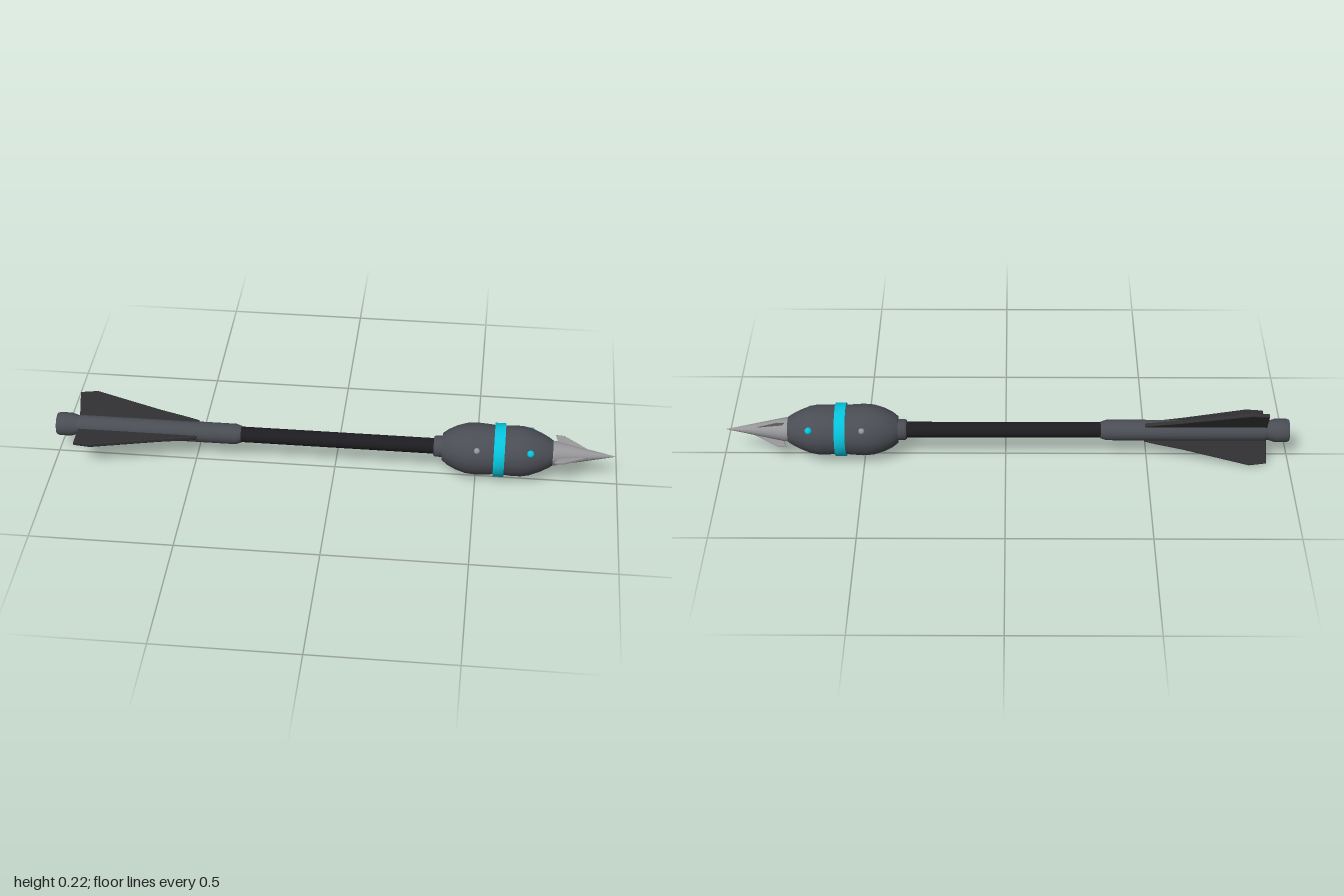
import * as THREE from 'three';
import { toCreasedNormals } from 'three/addons/utils/BufferGeometryUtils.js';

const mat = (color) => new THREE.MeshStandardMaterial({ color });
const steel = mat(0x4a4d54), carbon = mat(0x1d1d21), vane = mat(0x303032);
const metal = mat(0x97979a), glow = mat(0x06c3dc);

// Turned part along x; profile is [x, radius] from tail to tip
function turned(name, profile, material) {
  const points = profile.map(([x, r]) => new THREE.Vector2(r, x));
  const geo = toCreasedNormals(new THREE.LatheGeometry(points, 16), 0.6);
  geo.rotateZ(-Math.PI / 2);
  const mesh = new THREE.Mesh(geo, material);
  mesh.name = name;
  return mesh;
}

// Flat blade in the x / radius plane
function blade(name, outline, thickness, material) {
  const shape = new THREE.Shape(outline.map(([x, r]) => new THREE.Vector2(x, r)));
  const geo = new THREE.ExtrudeGeometry(shape, {
    depth: thickness * 0.7, bevelEnabled: true, bevelSegments: 1,
    bevelThickness: thickness * 0.15, bevelSize: 0.002, bevelOffset: -0.002,
  });
  geo.translate(0, 0, -thickness * 0.35);
  const mesh = new THREE.Mesh(geo, material);
  mesh.name = name;
  return mesh;
}

// Small domed button standing out from the warhead
function stud(name, x, r, size, material) {
  const geo = new THREE.SphereGeometry(size, 12, 8);
  geo.scale(1, 0.75, 1);
  const mesh = new THREE.Mesh(geo, material);
  mesh.name = name;
  mesh.position.set(x, r, 0);
  return mesh;
}

// Three copies around the shaft, starting at the given angle from up towards +z
function threeAround(parent, name, startDegrees, make) {
  for (let i = 0; i < 3; i++) {
    const arm = new THREE.Group();
    arm.name = name + (i + 1);
    arm.rotation.x = THREE.MathUtils.degToRad(startDegrees + i * 120);
    arm.add(make());
    parent.add(arm);
  }
}

export function createModel() {
  const model = new THREE.Group();
  model.name = 'arrow';
  const bolt = new THREE.Group();
  bolt.name = 'bolt';
  bolt.position.set(0, 0.11, -0.012);
  model.add(bolt);

  // Tail, shaft and collar
  bolt.add(turned('nock', [[-1, 0], [-1, 0.038], [-0.99, 0.042], [-0.95, 0.042],
    [-0.925, 0.034], [-0.91, 0.034], [-0.91, 0]], steel));
  bolt.add(turned('tailSleeve', [[-0.925, 0], [-0.925, 0.034], [-0.91, 0.037], [-0.355, 0.037],
    [-0.335, 0.03], [-0.335, 0]], steel));
  bolt.add(turned('shaft', [[-0.36, 0.028], [0.37, 0.028]], carbon));
  bolt.add(turned('collar', [[0.35, 0], [0.35, 0.034], [0.356, 0.038], [0.39, 0.038], [0.39, 0]], steel));

  // Warhead with its bright band
  bolt.add(turned('warhead', [[0.38, 0], [0.38, 0.048], [0.4, 0.064], [0.43, 0.079], [0.465, 0.09],
    [0.5, 0.093], [0.545, 0.09], [0.58, 0.086], [0.62, 0.09], [0.66, 0.09], [0.69, 0.084], [0.725, 0.07],
    [0.755, 0.054], [0.768, 0.045], [0.768, 0]], steel));
  bolt.add(turned('band', [[0.562, 0.08], [0.562, 0.096], [0.6, 0.096], [0.6, 0.08]], glow));

  // Pointed tip
  bolt.add(turned('tip', [[0.765, 0], [0.765, 0.044], [0.78, 0.043], [0.99, 0]], metal));

  threeAround(bolt, 'fletching', 90, () => blade('fin',
    [[-0.92, 0.02], [-0.49, 0.02], [-0.49, 0.041], [-0.53, 0.05], [-0.63, 0.07],
      [-0.86, 0.124], [-0.92, 0.117]], 0.014, vane));
  threeAround(bolt, 'tipBarb', 90, () => blade('barb',
    [[0.77, 0.01], [0.9, 0.01], [0.885, 0.022], [0.805, 0.062], [0.775, 0.064], [0.785, 0.04]], 0.01, metal));
  threeAround(bolt, 'frontStud', 60, () => stud('brightStud', 0.69, 0.083, 0.013, glow));
  threeAround(bolt, 'rearStud', 60, () => stud('greyStud', 0.503, 0.091, 0.011, metal));

  return model;
}
